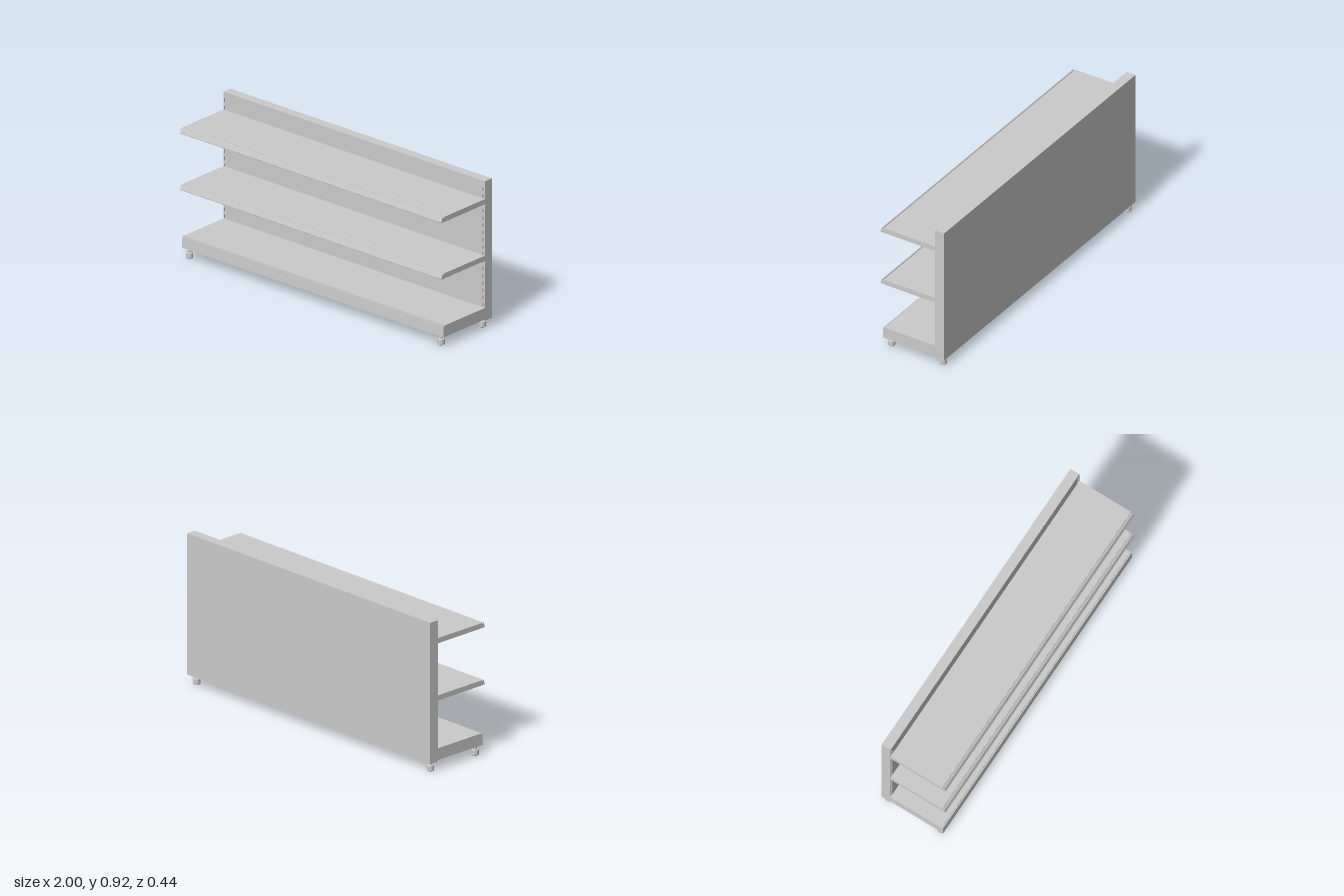
import * as THREE from 'three';

const material = new THREE.MeshStandardMaterial({ color: 0xcccccc, flatShading: true });
const smooth = new THREE.MeshStandardMaterial({ color: 0xcccccc });

function add(parent, name, geometry, mat = material) {
  const mesh = new THREE.Mesh(geometry, mat);
  mesh.name = name;
  parent.add(mesh);
  return mesh;
}

// Extrude a [z, y] profile along the full width of the unit
function alongX(points, width = 2) {
  const shape = new THREE.Shape(points.map(([z, y]) => new THREE.Vector2(z, y)));
  const geometry = new THREE.ExtrudeGeometry(shape, { depth: width, bevelEnabled: false });
  return geometry.rotateY(-Math.PI / 2).translate(width / 2, 0, 0);
}

function box(z0, z1, y0, y1) {
  return alongX([[z0, y0], [z1, y0], [z1, y1], [z0, y1]]);
}

function rectPath(PathType, x0, x1, y0, y1) {
  return new PathType([[x0, y0], [x1, y0], [x1, y1], [x0, y1]].map(p => new THREE.Vector2(...p)));
}

const PANEL = { back: -0.217, front: -0.156, skin: 0.008, bottom: 0.054, top: 0.92 };

// Back wall: solid core and a front skin perforated by two columns of bracket slots
function createBackWall() {
  const group = new THREE.Group();
  group.name = 'backWall';
  const seam = PANEL.front - PANEL.skin;
  add(group, 'wallCore', box(PANEL.back, seam, PANEL.bottom, PANEL.top));

  const face = rectPath(THREE.Shape, -1, 1, PANEL.bottom, PANEL.top);
  for (const side of [-1, 1]) {
    for (let y = 0.09; y < 0.9; y += 0.045) {
      const x = side * 0.988;
      face.holes.push(rectPath(THREE.Path, x - 0.007, x + 0.007, y, y + 0.024));
    }
  }
  const skin = new THREE.ExtrudeGeometry(face, { depth: PANEL.skin, bevelEnabled: false });
  add(group, 'slottedFront', skin.translate(0, 0, seam));
  return group;
}

// Shelf board with a slanted, grooved label rail on the front edge
function createShelf(y) {
  const group = new THREE.Group();
  group.name = 'shelf';
  add(group, 'shelfBoard', box(PANEL.front, 0.192, 0, 0.032));
  add(group, 'labelRail', alongX([
    [0.192, 0.001], [0.218, 0], [0.219, 0.003], [0.21, 0.031], [0.206, 0.031],
    [0.203, 0.024], [0.199, 0.024], [0.197, 0.03], [0.192, 0.03],
  ]));
  group.position.y = y;
  return group;
}

// Deep bottom shelf with a kick plate
function createBase() {
  const group = new THREE.Group();
  group.name = 'base';
  add(group, 'baseBox', box(PANEL.front, 0.192, 0.062, 0.134));
  add(group, 'kickPlate', alongX([
    [0.192, 0.062], [0.203, 0.063], [0.2, 0.131], [0.196, 0.131], [0.195, 0.127], [0.192, 0.127],
  ]));
  return group;
}

// Levelling foot: chamfered pad on a thin stem
function createFoot(x, z) {
  const group = new THREE.Group();
  group.name = 'foot';
  const pad = [[0, 0], [0.019, 0], [0.021, 0.002], [0.021, 0.033], [0.018, 0.037], [0.011, 0.037]];
  // repeated profile corners keep the edges crisp
  const points = pad.flatMap(p => [new THREE.Vector2(...p), new THREE.Vector2(...p)]);
  add(group, 'footPad', new THREE.LatheGeometry(points, 20), smooth);
  add(group, 'footStem', new THREE.CylinderGeometry(0.011, 0.011, 0.032, 16), smooth).position.y = 0.05;
  group.position.set(x, 0, z);
  return group;
}

export function createModel() {
  const model = new THREE.Group();
  model.name = 'storeShelving';
  model.add(createBackWall(), createBase());
  for (const y of [0.427, 0.778]) model.add(createShelf(y));
  for (const x of [-0.97, 0.956]) {
    for (const z of [0.171, -0.184]) model.add(createFoot(x, z));
  }
  return model;
}
